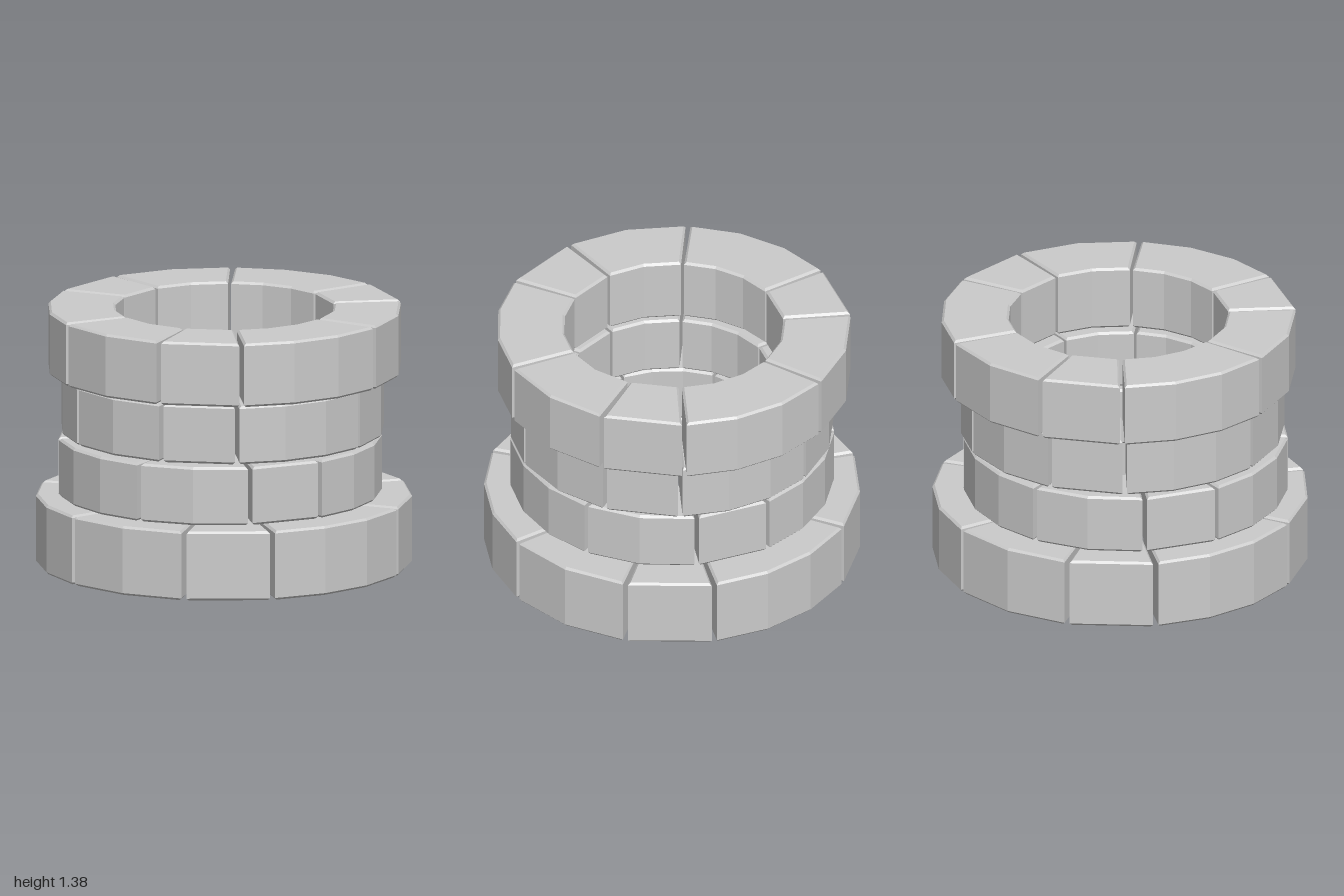
import * as THREE from 'three';

const material = new THREE.MeshStandardMaterial({ color: 0xcccccc, flatShading: true });
const BEVEL = 0.012;
const GAP = 0.8; // half of the joint between neighbouring stones, in degrees

// Stone sizes repeat around each ring: short, medium, long
const STONES = [
  { name: 'shortStone', sweep: 27.3, segments: 1 },
  { name: 'mediumStone', sweep: 40.7, segments: 2 },
  { name: 'longStone', sweep: 52, segments: 3 },
];

// One chamfered stone: a faceted arc between two radii, angles measured from +x towards +z
function stone(inner, outer, y0, y1, from, to, segments) {
  const points = [];
  const arc = (radius, a, b) => {
    for (let i = 0; i <= segments; i++) {
      const t = THREE.MathUtils.degToRad(a + ((b - a) * i) / segments);
      points.push(new THREE.Vector2(radius * Math.cos(t), radius * Math.sin(t)));
    }
  };
  arc(outer, from, to);
  arc(inner, to, from);
  const geometry = new THREE.ExtrudeGeometry(new THREE.Shape(points), {
    depth: y1 - y0 - 2 * BEVEL,
    bevelThickness: BEVEL,
    bevelSize: BEVEL,
    bevelOffset: -BEVEL,
    bevelSegments: 1,
  });
  geometry.rotateX(Math.PI / 2).translate(0, y1 - BEVEL, 0);
  return new THREE.Mesh(geometry, material);
}

// A full ring of nine stones; start is the angle where the first short stone begins
function ring({ name, inner, outer, y0, y1, start, x, z }) {
  const group = new THREE.Group();
  group.name = name;
  group.position.set(x, 0, z);
  let angle = start;
  for (let i = 0; i < 9; i++) {
    const { name: stoneName, sweep, segments } = STONES[i % 3];
    const mesh = stone(inner, outer, y0, y1, angle + GAP, angle + sweep - GAP, segments);
    mesh.name = stoneName;
    group.add(mesh);
    angle += sweep;
  }
  return group;
}

export function createModel() {
  const model = new THREE.Group();
  model.name = 'stoneWell';
  // Wide base, two narrower courses and a wide rim, each turned and nudged a little
  const rings = [
    { name: 'baseRing', inner: 0.6, outer: 1.0, y0: 0, y1: 0.375, start: -88.7, x: 0, z: 0 },
    { name: 'lowerCourse', inner: 0.55, outer: 0.862, y0: 0.385, y1: 0.7, start: 8, x: -0.005, z: 0.03 },
    { name: 'upperCourse', inner: 0.55, outer: 0.862, y0: 0.715, y1: 1.03, start: -78.8, x: 0, z: 0.01 },
    { name: 'rimRing', inner: 0.585, outer: 0.943, y0: 1.04, y1: 1.385, start: -79.2, x: -0.005, z: -0.011 },
  ];
  for (const r of rings) model.add(ring(r));
  return model;
}
